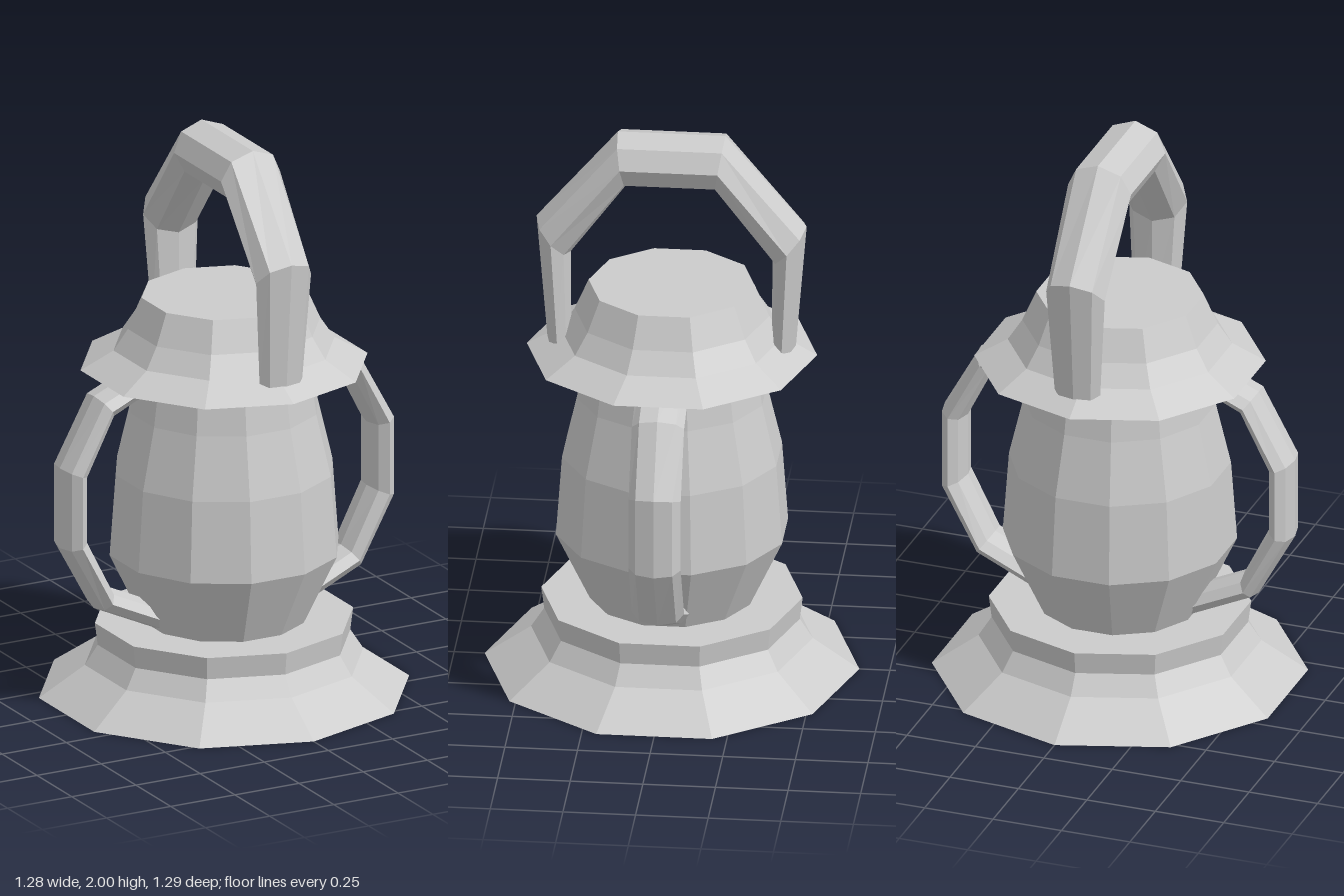
import * as THREE from 'three';

const material = new THREE.MeshStandardMaterial({ color: 0xcccccc, flatShading: true });

function addMesh(parent, name, geometry) {
  const mesh = new THREE.Mesh(geometry, material);
  mesh.name = name;
  parent.add(mesh);
  return mesh;
}

// Faceted turned part from [radius, height] pairs, bottom to top
function turned(profile, sides, phase = 0) {
  return new THREE.LatheGeometry(profile.map(([r, y]) => new THREE.Vector2(r, y)), sides, phase);
}

// Octagonal bar in the xy plane; each station is [outerX, outerY, innerX, innerY, halfWidth]
function bar(stations, sides = 8) {
  const positions = [];
  const index = [];
  for (const [ox, oy, ix, iy, w] of stations) {
    for (let j = 0; j < sides; j++) {
      const a = (j / sides) * Math.PI * 2;
      const t = (1 + Math.cos(a)) / 2;
      positions.push(ix + (ox - ix) * t, iy + (oy - iy) * t, w * Math.sin(a));
    }
  }
  const last = (stations.length - 1) * sides;
  for (let i = 0; i < last; i += sides) {
    for (let j = 0; j < sides; j++) {
      const k = (j + 1) % sides;
      index.push(i + j, i + sides + j, i + k, i + k, i + sides + j, i + sides + k);
    }
  }
  // End caps
  for (let j = 1; j < sides - 1; j++) {
    index.push(0, j, j + 1, last, last + j + 1, last + j);
  }
  const geometry = new THREE.BufferGeometry();
  geometry.setAttribute('position', new THREE.Float32BufferAttribute(positions, 3));
  geometry.setIndex(index);
  geometry.computeVertexNormals();
  return geometry;
}

export function createModel() {
  const group = new THREE.Group();

  // Flared foot with a raised band
  addMesh(group, 'base', turned(
    [[0, 0], [0.645, 0], [0.485, 0.11], [0.44, 0.18], [0.45, 0.26], [0, 0.26]], 10));

  // Bulging lamp body, reaching into the lid
  addMesh(group, 'body', turned(
    [[0, 0.25], [0.28, 0.25], [0.403, 0.51], [0.382, 0.8], [0.33, 1.02], [0.305, 1.19], [0, 1.19]],
    12, Math.PI / 12));

  // Flared lid
  addMesh(group, 'lid', turned(
    [[0, 1.18], [0.5, 1.18], [0.385, 1.245], [0.335, 1.32], [0.287, 1.43], [0, 1.43]], 10));

  // Curved bars on both sides
  const sideStations = [
    [0.25, 0.25, 0.25, 0.345, 0.09],
    [0.507, 0.37, 0.455, 0.44, 0.09],
    [0.64, 0.61, 0.555, 0.64, 0.09],
    [0.64, 0.9, 0.555, 0.87, 0.09],
    [0.507, 1.14, 0.455, 1.07, 0.09],
    [0.25, 1.25, 0.25, 1.165, 0.09],
  ];
  for (const [name, turn] of [['leftSideBar', 0], ['rightSideBar', Math.PI]]) {
    addMesh(group, name, bar(sideStations)).rotation.y = turn;
  }

  // Carrying handle arching from front to back
  const half = [
    [0.428, 1.22, 0.345, 1.225, 0.083],
    [0.465, 1.67, 0.347, 1.54, 0.107],
    [0.185, 2.0, 0.152, 1.805, 0.115],
  ];
  const mirrored = half.map(([ox, oy, ix, iy, w]) => [-ox, oy, -ix, iy, w]).reverse();
  const handle = addMesh(group, 'carryHandle', bar([...half, ...mirrored]));
  handle.rotation.y = -Math.PI / 2;
  handle.position.x = 0.012;

  return group;
}
